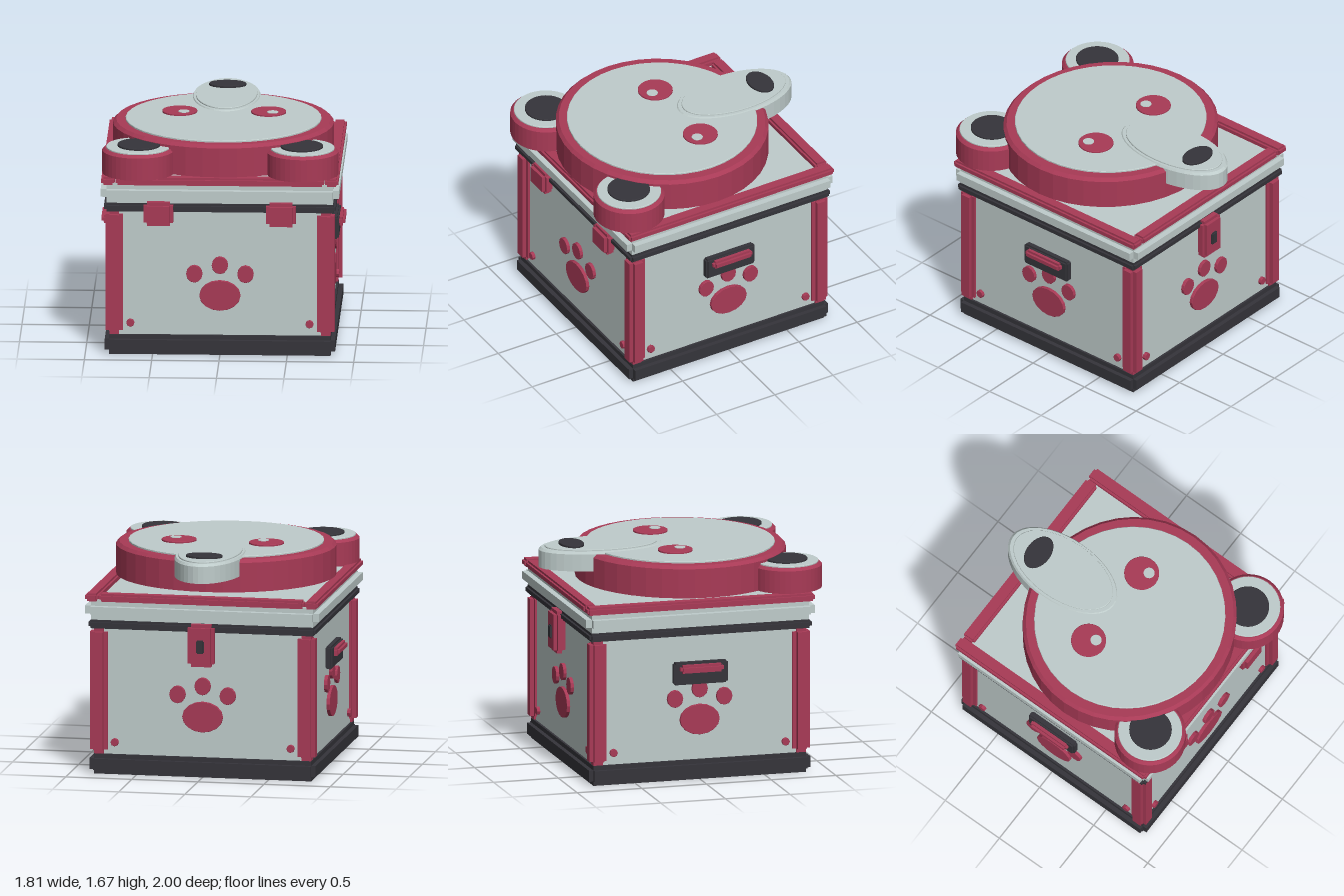
import * as THREE from 'three';
import { mergeGeometries } from 'three/addons/utils/BufferGeometryUtils.js';

const red = new THREE.MeshStandardMaterial({ color: 0xa83a56 });
red.name = 'raspberry red';
const pale = new THREE.MeshStandardMaterial({ color: 0xbfcccb });
pale.name = 'pale grey';
const dark = new THREE.MeshStandardMaterial({ color: 0x35343a });
dark.name = 'charcoal';

export function createModel() {
  const model = new THREE.Group();
  model.name = 'bearStorageBox';

  function add(parent, name, geometry, material, x, y, z) {
    const mesh = new THREE.Mesh(geometry, material);
    mesh.name = name;
    mesh.position.set(x, y, z);
    parent.add(mesh);
    return mesh;
  }

  // Box with stepped edges: three overlapping boxes, each full size on one axis
  function stepped(parent, name, material, [w, h, d], r, [x, y, z]) {
    const s = 2 * r;
    const geometry = mergeGeometries([
      new THREE.BoxGeometry(w, h - s, d - s),
      new THREE.BoxGeometry(w - s, h, d - s),
      new THREE.BoxGeometry(w - s, h - s, d),
    ]);
    return add(parent, name, geometry, material, x, y, z);
  }

  // Faceted elliptical disc standing on its base, with a chamfered top edge
  function discGeometry(rx, rz, h, chamfer, segments) {
    const r = Math.max(rx, rz);
    const profile = [[0, 0], [r, 0], [r, h - chamfer], [r - chamfer, h], [0, h]];
    const lathe = new THREE.LatheGeometry(profile.map(([a, b]) => new THREE.Vector2(a, b)), segments);
    lathe.scale(rx / r, 1, rz / r);
    const flat = lathe.toNonIndexed();
    flat.computeVertexNormals();
    return flat;
  }
  function disc(parent, name, material, [rx, rz], [y0, y1], x, z, chamfer = 0.004, segments = 40) {
    return add(parent, name, discGeometry(rx, rz, y1 - y0, chamfer, segments), material, x, y0, z);
  }

  // Container
  stepped(model, 'base', dark, [1.71, 0.15, 1.71], 0.033, [0, 0.075, 0]);
  add(model, 'body', new THREE.BoxGeometry(1.61, 1.06, 1.61), pale, 0, 0.6, 0);
  stepped(model, 'upperRim', dark, [1.72, 0.065, 1.72], 0.018, [0, 1.132, 0]);
  for (const sx of [-1, 1]) {
    for (const sz of [-1, 1]) {
      stepped(model, 'cornerPost', red, [0.132, 0.95, 0.132], 0.03, [sx * 0.785, 0.627, sz * 0.785]);
    }
  }

  // Lid with raised border
  stepped(model, 'lid', pale, [1.77, 0.15, 1.77], 0.045, [0, 1.24, 0]);
  for (const s of [-1, 1]) {
    stepped(model, 'lidSideRail', red, [0.1, 0.06, 1.76], 0.016, [s * 0.83, 1.337, 0]);
    stepped(model, 'lidCrossRail', red, [1.55, 0.06, 0.1], 0.016, [0, 1.337, s * 0.83]);
  }

  // Paw print and rivets on each of the four walls
  for (let i = 0; i < 4; i++) {
    const wall = new THREE.Group();
    wall.name = 'wallDecoration';
    wall.rotation.y = i * Math.PI / 2;
    model.add(wall);
    const badge = (name, x, y, rx, ry, segments) => {
      const geometry = discGeometry(rx, ry, 0.03, 0.002, segments);
      geometry.rotateX(Math.PI / 2);
      add(wall, name, geometry, red, x, y, 0.8);
    };
    badge('pawPad', 0, 0.455, 0.153, 0.115, 16);
    badge('pawToe', 0, 0.687, 0.061, 0.066, 12);
    for (const s of [-1, 1]) {
      badge('pawToe', s * 0.19, 0.62, 0.061, 0.066, 12);
      badge('rivet', s * 0.665, 0.24, 0.03, 0.03, 8);
    }
  }

  // Side handles
  for (const s of [-1, 1]) {
    stepped(model, 'handlePlate', dark, [0.06, 0.17, 0.42], 0.013, [s * 0.83, 0.815, 0]);
    stepped(model, 'handleGrip', red, [0.06, 0.062, 0.335], 0.018, [s * 0.875, 0.855, 0]);
  }

  // Front hinges and back latch
  for (const s of [-1, 1]) {
    stepped(model, 'hinge', red, [0.22, 0.18, 0.09], 0.025, [s * 0.455, 1.09, 0.86]);
  }
  stepped(model, 'latch', red, [0.2, 0.32, 0.09], 0.025, [0, 1.005, -0.865]);
  stepped(model, 'latchButton', dark, [0.06, 0.1, 0.04], 0.008, [0, 1.0, -0.905]);

  // Bear head lying on the lid
  disc(model, 'head', red, [0.82, 0.78], [1.375, 1.62], 0, 0.09, 0.024);
  disc(model, 'face', pale, [0.727, 0.7], [1.6, 1.634], 0, 0.09);
  for (const s of [-1, 1]) {
    disc(model, 'ear', red, [0.267, 0.264], [1.375, 1.566], s * 0.61, 0.732, 0.02);
    disc(model, 'earLining', pale, [0.238, 0.238], [1.56, 1.578], s * 0.61, 0.732);
    disc(model, 'innerEar', dark, [0.158, 0.158], [1.57, 1.593], s * 0.605, 0.732);
    disc(model, 'eye', red, [0.13, 0.13], [1.625, 1.647], s * 0.33, -0.045, 0.003, 32);
    disc(model, 'eyeHighlight', pale, [0.042, 0.042], [1.644, 1.652], s * 0.33 + 0.032, 0, 0.001, 16);
  }

  // Snout and nose
  disc(model, 'snout', pale, [0.255, 0.475], [1.495, 1.642], 0, -0.525, 0.018);
  disc(model, 'snoutTop', pale, [0.228, 0.428], [1.635, 1.653], 0, -0.525);
  disc(model, 'nose', dark, [0.138, 0.09], [1.648, 1.67], 0, -0.752, 0.004, 32);

  return model;
}
